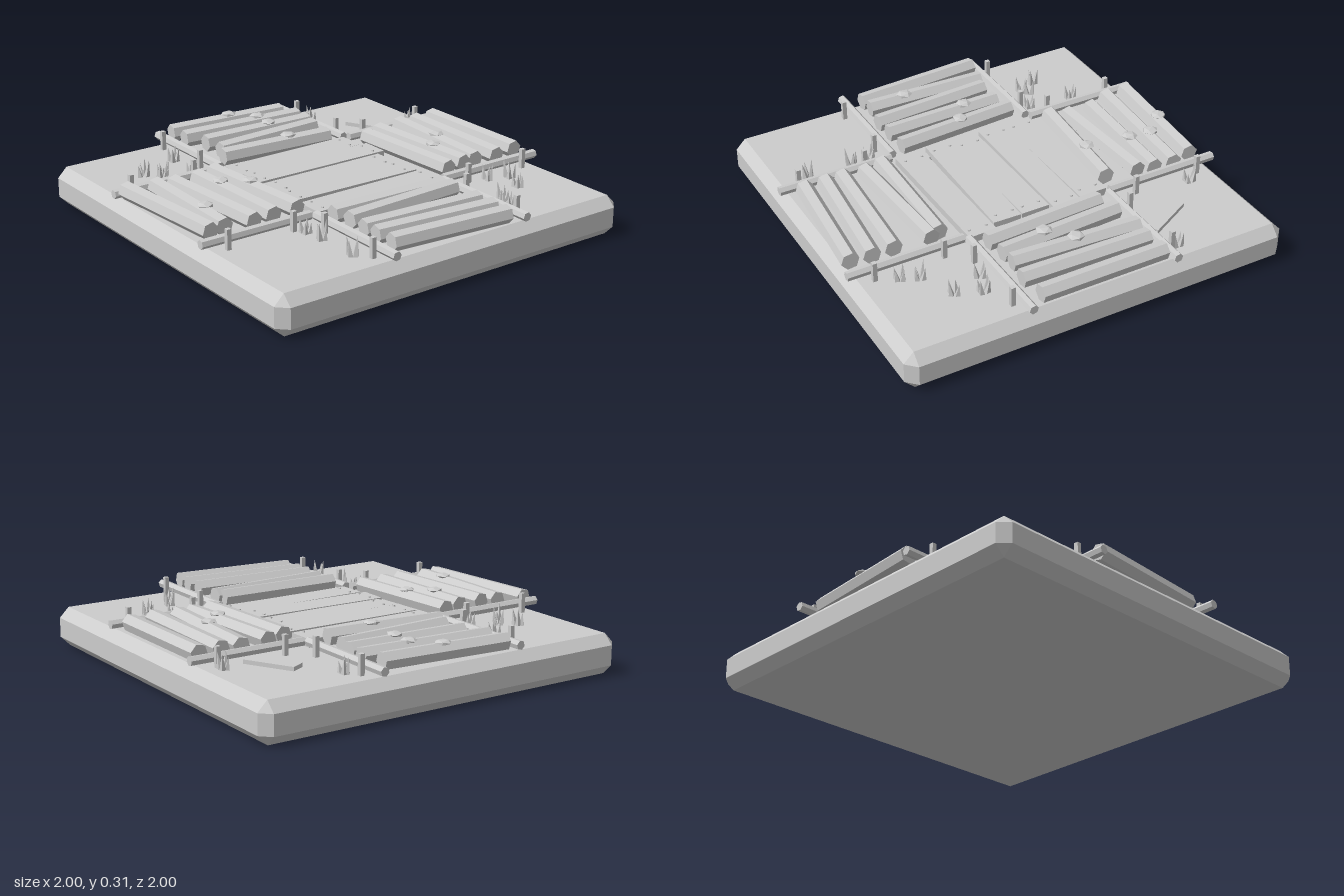
import * as THREE from 'three';
import { ConvexGeometry } from 'three/addons/geometries/ConvexGeometry.js';

export function createModel() {
  const model = new THREE.Group();
  const stone = new THREE.MeshStandardMaterial({ color: 0xcccccc, flatShading: true });
  stone.name = 'plain grey';

  const add = (name, geometry, x, y, z, ry = 0) => {
    const mesh = new THREE.Mesh(geometry, stone);
    mesh.name = name;
    mesh.position.set(x, y, z);
    mesh.rotation.y = ry;
    model.add(mesh);
    return mesh;
  };

  // small seeded generator for natural variation
  let seed = 7;
  const rand = () => (seed = (seed * 16807) % 2147483647) / 2147483647;

  // bevelled base slab
  const corners = [];
  for (const sx of [-1, 1]) for (const sz of [-1, 1]) {
    for (const y of [0.05, 0.15]) {
      corners.push(new THREE.Vector3(sx, y, sz * 0.95), new THREE.Vector3(sx * 0.95, y, sz));
    }
    for (const y of [0, 0.2]) corners.push(new THREE.Vector3(sx * 0.95, y, sz * 0.95));
  }
  add('base', new ConvexGeometry(corners), 0, 0, 0);

  // six-sided log between two ground points, rolled slightly
  const log = (name, x1, z1, x2, z2, r, y) => {
    const length = Math.hypot(x2 - x1, z2 - z1);
    const geo = new THREE.CylinderGeometry(r, r, length, 6, 1, false, -Math.PI / 15);
    geo.rotateZ(Math.PI / 2);
    add(name, geo, (x1 + x2) / 2, y, (z1 + z2) / 2, Math.atan2(z1 - z2, x2 - x1));
  };

  // side rails of the four walkways, with posts outside them
  for (const a of [-1, 1]) {
    for (const b of [-0.382, 0.382]) {
      log('rail', a < 0 ? -1 : 0.4, b, a < 0 ? -0.4 : 1, b, 0.023, 0.238);
      log('rail', b, a < 0 ? -0.4 : 1, b, a < 0 ? -1 : 0.4, 0.023, 0.238);
      for (const d of [0.525, 0.88]) {
        const side = Math.sign(b) * 0.424;
        const post = new THREE.BoxGeometry(0.022, 0.1, 0.022);
        add('post', post, a * d, 0.25, side);
        add('post', post, side, 0.25, a * d);
      }
    }
  }

  // logs across the back and front walkways: x1, z1, x2, z2
  const acrossLogs = [
    [-0.35, -0.93, 0.31, -0.93], [-0.34, -0.81, 0.33, -0.795], [-0.35, -0.71, 0.31, -0.67],
    [-0.33, -0.555, 0.315, -0.59], [-0.295, -0.45, 0.33, -0.48],
    [-0.33, 0.475, 0.32, 0.43], [-0.305, 0.58, 0.325, 0.565], [-0.305, 0.715, 0.33, 0.675],
    [-0.33, 0.8, 0.305, 0.82], [-0.36, 0.945, 0.315, 0.9],
  ];
  // logs on the left and right walkways, front end to back end
  const alongLogs = [
    [-0.945, 0.335, -0.9, -0.33], [-0.825, 0.33, -0.785, -0.36], [-0.7, 0.28, -0.68, -0.35],
    [-0.56, 0.28, -0.595, -0.33], [-0.475, 0.32, -0.43, -0.3],
    [0.475, 0.34, 0.49, -0.31], [0.575, 0.32, 0.54, -0.33], [0.69, 0.33, 0.73, -0.32],
    [0.78, 0.33, 0.84, -0.32], [0.89, 0.33, 0.945, -0.31],
  ];
  for (const p of [...acrossLogs, ...alongLogs]) log('walkwayLog', ...p, 0.045, 0.255);

  // central deck of five planks, nailed at both ends: x, back z, front z, turn
  const planks = [
    [-0.31, -0.37, 0.37, 0.01], [-0.158, -0.4, 0.365, -0.005], [0, -0.355, 0.35, 0.005],
    [0.147, -0.36, 0.37, -0.02], [0.31, -0.4, 0.36, 0.01],
  ];
  planks.forEach(([x, z1, z2, turn], i) => {
    const y = 0.225 + (i % 2) * 0.004;
    add('deckPlank', new THREE.BoxGeometry(0.147, 0.035, z2 - z1), x, y, (z1 + z2) / 2, turn);
    for (const z of [z1 + 0.05, z2 - 0.05]) for (const dx of [-0.045, 0.045]) {
      add('nail', new THREE.CylinderGeometry(0.007, 0.008, 0.008, 6), x + dx, y + 0.02, z);
    }
  });
  // beams under the deck
  for (const z of [-0.34, 0.34]) {
    add('deckBeam', new THREE.BoxGeometry(0.76, 0.02, 0.05), 0, 0.208, z);
  }

  // loose plank on the ground
  add('loosePlank', new THREE.BoxGeometry(0.26, 0.02, 0.078), -0.53, 0.21, -0.66, 0.49);

  // flat moss tufts on the logs
  const moss = [
    [-0.02, -0.69], [0.085, -0.58], [-0.925, -0.01], [-0.81, -0.115], [-0.69, -0.105],
    [-0.46, -0.07], [-0.03, 0.455], [-0.11, 0.57], [0.115, 0.8],
  ];
  for (const [x, z] of moss) {
    add('moss', new THREE.IcosahedronGeometry(0.042, 0), x, 0.297, z, rand() * 3).scale.y = 0.32;
  }

  // grass clumps of pointed blades
  const grass = [
    [-0.46, -0.87], [-0.81, -0.465], [0.49, -0.735], [0.61, -0.685], [0.45, -0.63],
    [0.695, -0.51], [0.775, -0.47], [-0.7, 0.475], [-0.47, 0.51], [-0.54, 0.63],
    [-0.51, 0.66], [-0.6, 0.71], [0.47, 0.49], [0.575, 0.48], [0.805, 0.475],
  ];
  for (const [x, z] of grass) {
    for (let i = 0; i < 4; i++) {
      const h = 0.055 + rand() * 0.04;
      const angle = i * 1.57 + rand();
      const blade = new THREE.ConeGeometry(0.016, h, 4);
      blade.translate(0, h / 2, 0);
      blade.rotateZ(-0.15);
      add('grassBlade', blade, x + Math.cos(angle) * 0.018, 0.198, z - Math.sin(angle) * 0.018, angle);
    }
  }

  return model;
}
